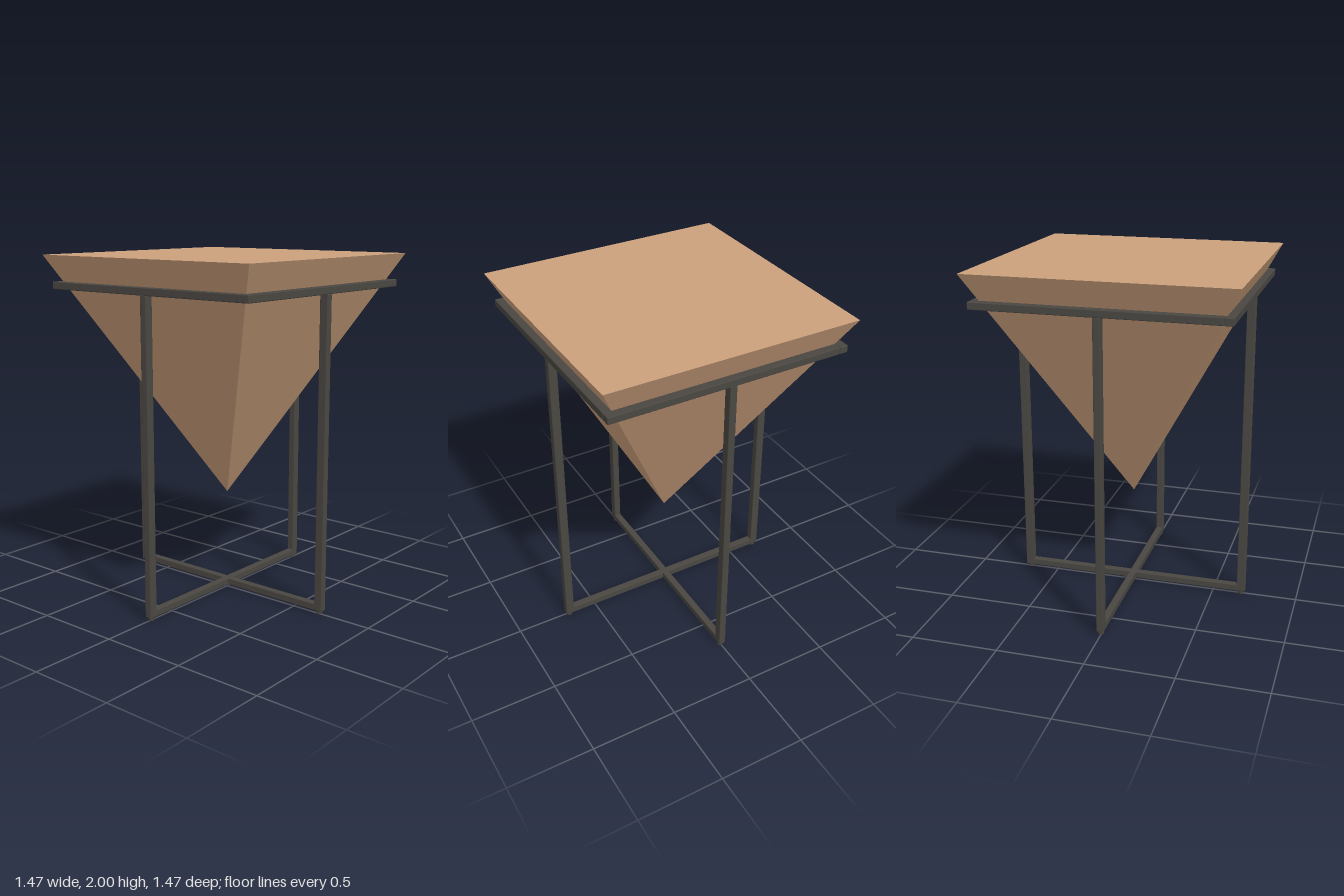
import * as THREE from 'three';
import { RoundedBoxGeometry } from 'three/addons/geometries/RoundedBoxGeometry.js';

export function createModel() {
  const model = new THREE.Group();
  model.name = 'pyramidTable';
  const wood = new THREE.MeshStandardMaterial({ name: 'tanWood', color: 0xcca07c, flatShading: true });
  const metal = new THREE.MeshStandardMaterial({ name: 'darkMetal', color: 0x4a4742 });

  const HALF = 0.733, APEX = 0.6, TOP = 2;
  const OUT = 0.7, BAR = 0.05, THIN = 0.042;
  const MID = OUT - BAR / 2;

  // Inverted solid pyramid whose base is the table top
  const height = TOP - APEX;
  const cone = new THREE.ConeGeometry(HALF * Math.SQRT2, height, 4, 1, false, Math.PI / 4);
  const body = new THREE.Mesh(cone, wood);
  body.name = 'pyramidTop';
  body.rotation.x = Math.PI;
  body.position.y = APEX + height / 2;
  model.add(body);

  // Metal frame of softly rounded square tube
  const frame = new THREE.Group();
  frame.name = 'frame';
  frame.position.x = 0.004;
  model.add(frame);

  function bar(name, parent, size, pos) {
    const mesh = new THREE.Mesh(new RoundedBoxGeometry(...size, 2, 0.005), metal);
    mesh.name = name;
    mesh.position.set(...pos);
    parent.add(mesh);
  }

  // Four identical sides: top rail, leg and foot
  for (let i = 0; i < 4; i++) {
    const side = new THREE.Group();
    side.name = 'frameSide' + (i + 1);
    side.rotation.y = i * Math.PI / 2;
    bar('topRail', side, [OUT * 2 - BAR, THIN, BAR], [-BAR / 2, 1.829, MID]);
    bar('leg', side, [THIN, 1.792, BAR], [0, 0.914, MID]);

    const foot = new THREE.Mesh(new THREE.CylinderGeometry(0.017, 0.017, 0.02, 16), metal);
    foot.name = 'foot';
    foot.position.set(0, 0.01, MID);
    side.add(foot);
    frame.add(side);
  }

  // Crossed floor bars joining opposite legs
  const span = 2 * (OUT - BAR) + 0.01;
  bar('crossBarX', frame, [span, 0.04, THIN], [0, 0.038, 0]);
  bar('crossBarZ', frame, [THIN, 0.04, span], [0, 0.038, 0]);

  return model;
}
